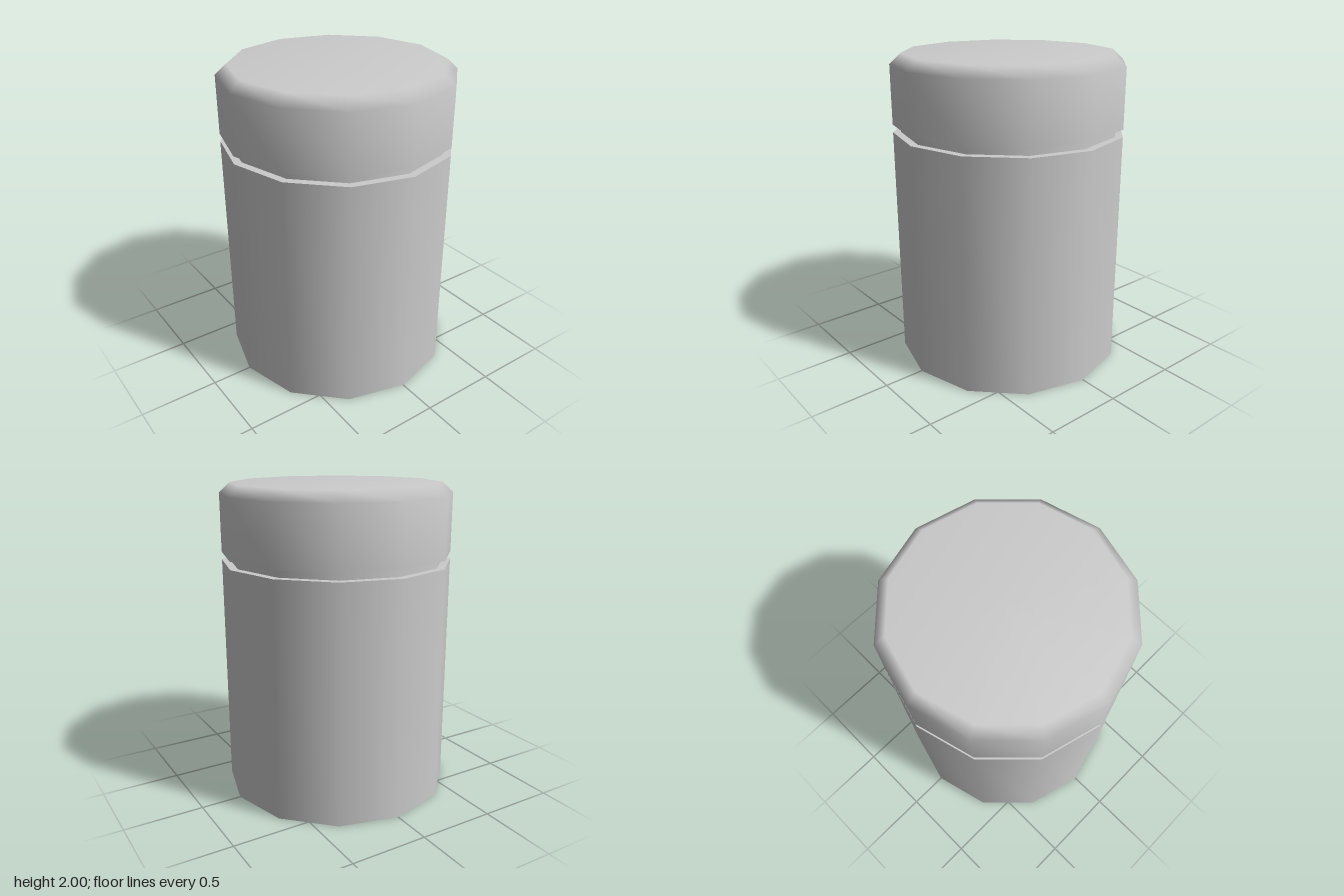
import * as THREE from 'three';

const SIDES = 12;
const R = 0.74, NECK_R = 0.69;
const material = new THREE.MeshStandardMaterial({ color: 0xcccccc, side: THREE.DoubleSide });

// Revolves one smooth run of [radius, height] points; separate runs keep hard edges
function ring(name, profile) {
  const points = profile.map(([r, y]) => new THREE.Vector2(r, y));
  const mesh = new THREE.Mesh(new THREE.LatheGeometry(points, SIDES), material);
  mesh.name = name;
  return mesh;
}

export function createModel() {
  const model = new THREE.Group();
  model.name = 'canister';

  // Body: open underneath, with a flat shoulder at the groove
  const body = new THREE.Group();
  body.name = 'body';
  body.add(
    ring('bodyWall', [[R, 0], [R, 1.51]]),
    ring('bodyShoulder', [[R, 1.51], [NECK_R, 1.51]]),
  );

  // Recessed band between body and lid
  const neck = ring('neck', [[NECK_R, 1.51], [NECK_R, 1.56]]);

  // Lid: flat underside, straight skirt, softened bevel and flat top
  const lid = new THREE.Group();
  lid.name = 'lid';
  lid.add(
    ring('lidUnderside', [[NECK_R, 1.56], [R, 1.56]]),
    ring('lidShell', [[R, 1.56], [R, 1.935], [0.67, 2], [0, 2]]),
  );

  model.add(body, neck, lid);
  return model;
}
